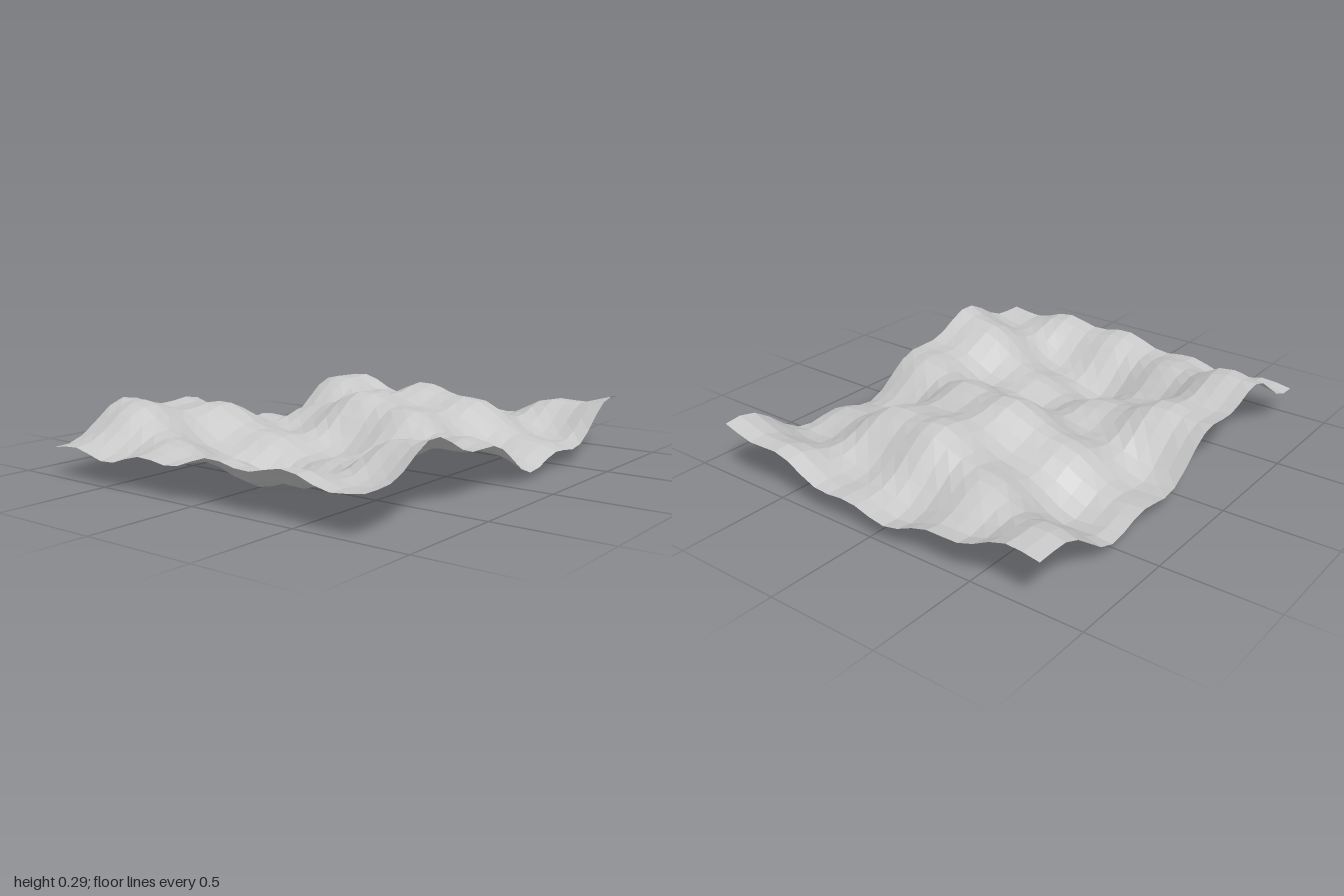
import * as THREE from 'three';

const WIDTH = 2, DEPTH = 1.63, COLS = 26, ROWS = 22;

// One broad egg-crate swell plus two finer slanting ripples that cross each other
function heightAt(x, z) {
  const swell = 0.123 * Math.sin((2 * Math.PI * (x + 0.083)) / 1.72)
    * Math.cos((2 * Math.PI * (z - 0.055)) / 1.7);
  const across = (x - 0.1) * 0.95 + (z - 0.04) * 0.25;
  const along = z - 0.2 * x + 0.095;
  return swell
    + 0.032 * Math.cos((2 * Math.PI * across) / 0.455)
    + 0.018 * Math.cos((2 * Math.PI * along) / 0.38);
}

export function createModel() {
  const group = new THREE.Group();
  group.name = 'wavyTerrain';

  const stone = new THREE.MeshStandardMaterial({
    color: 0xc8c8c8, flatShading: true, side: THREE.DoubleSide,
  });
  stone.name = 'pale grey';

  // Rippled open sheet, faceted
  const sheet = new THREE.PlaneGeometry(WIDTH, DEPTH, COLS, ROWS).rotateX(-Math.PI / 2);
  const pos = sheet.attributes.position;
  for (let i = 0; i < pos.count; i++) {
    pos.setY(i, heightAt(pos.getX(i), pos.getZ(i)));
  }

  // Rest the lowest hollow on the ground
  sheet.computeBoundingBox();
  sheet.translate(0, -sheet.boundingBox.min.y, 0);
  sheet.computeVertexNormals();

  const mesh = new THREE.Mesh(sheet, stone);
  mesh.name = 'terrainSurface';
  group.add(mesh);
  return group;
}
